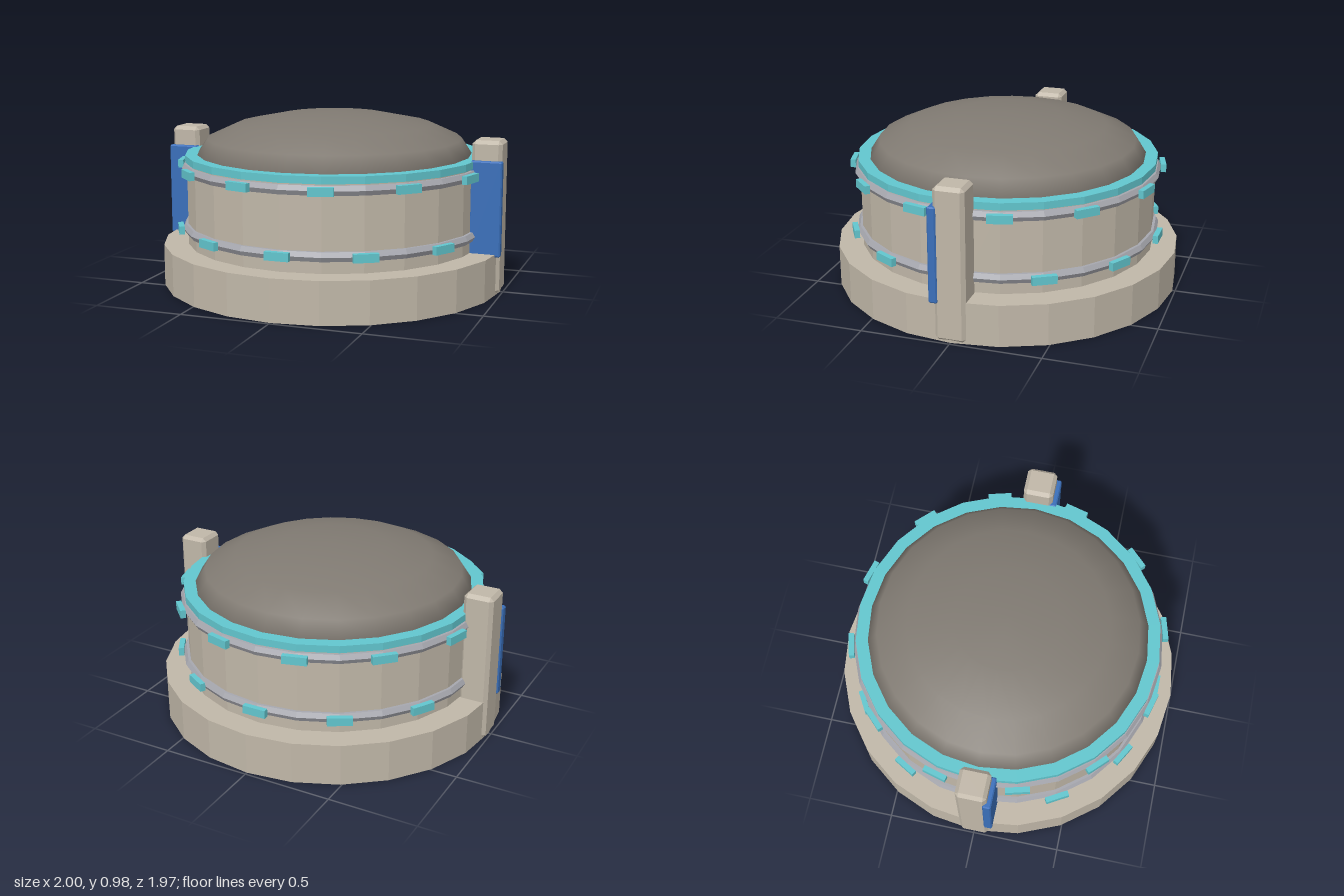
import * as THREE from 'three';
import { ConvexGeometry } from 'three/addons/geometries/ConvexGeometry.js';

const SIDES = 24;

const mat = (name, color) => {
  const m = new THREE.MeshStandardMaterial({ color });
  m.name = name;
  return m;
};

// Faceted copy of a geometry
function flat(geometry) {
  const g = geometry.toNonIndexed();
  g.computeVertexNormals();
  return g;
}

// Box with every edge cut at 45 degrees
function chamferBox(w, h, d, c) {
  const points = [];
  for (const sx of [-1, 1]) for (const sy of [-1, 1]) for (const sz of [-1, 1]) {
    const x = w / 2, y = h / 2, z = d / 2;
    points.push(
      new THREE.Vector3(sx * x, sy * (y - c), sz * (z - c)),
      new THREE.Vector3(sx * (x - c), sy * y, sz * (z - c)),
      new THREE.Vector3(sx * (x - c), sy * (y - c), sz * z)
    );
  }
  return new ConvexGeometry(points);
}

export function createModel() {
  const stone = mat('stone', 0xc0b7a8);
  const domeGrey = mat('dome grey', 0x807a72);
  const steel = mat('steel', 0xa6a7ae);
  const teal = mat('teal', 0x62c6ce);
  const blue = mat('blue', 0x3a6fba);

  const model = new THREE.Group();
  model.name = 'domedDrum';
  const add = (name, geometry, material, x = 0, y = 0, z = 0, parent = model) => {
    const mesh = new THREE.Mesh(geometry, material);
    mesh.name = name;
    mesh.position.set(x, y, z);
    parent.add(mesh);
    return mesh;
  };
  const disc = (name, r, y0, y1, material) =>
    add(name, flat(new THREE.CylinderGeometry(r, r, y1 - y0, SIDES)), material, 0, (y0 + y1) / 2, 0);

  // Stacked round body
  disc('base', 0.985, 0, 0.235, stone);
  disc('drum', 0.845, 0.235, 0.705, stone);
  disc('rimBand', 0.855, 0.705, 0.745, teal);

  // Shallow smooth dome
  const dome = new THREE.SphereGeometry(0.79, SIDES, 4, 0, Math.PI * 2, 0, Math.PI / 2);
  dome.scale(1, 0.24 / 0.79, 1);
  add('dome', dome, domeGrey, 0, 0.74, 0);

  // Two hoops, each with twelve lights; the upper set is turned by half a step
  const hoop = flat(new THREE.TorusGeometry(0.845, 0.03, 6, SIDES).rotateX(Math.PI / 2));
  const light = new THREE.BoxGeometry(0.135, 0.046, 0.03);
  for (const [name, y, turn] of [['lower', 0.327, 0], ['upper', 0.672, 0.5]]) {
    add(name + 'Hoop', hoop, steel, 0, y, 0);
    const lights = new THREE.Group();
    lights.name = name + 'Lights';
    model.add(lights);
    for (let i = 0; i < 12; i++) {
      const a = (i + turn) * Math.PI / 6;
      add('light', light, teal, Math.sin(a) * 0.885, y, Math.cos(a) * 0.885, lights).rotation.y = a;
    }
  }

  // Side posts with a blue panel on the front of each
  const post = chamferBox(0.168, 0.855, 0.172, 0.02);
  const panel = chamferBox(0.176, 0.53, 0.048, 0.007);
  for (const [side, s] of [['left', 1], ['right', -1]]) {
    add(side + 'Post', post, stone, s * 0.908, 0.432, 0);
    add(side + 'Panel', panel, blue, s * 0.912, 0.485, 0.088);
  }

  return model;
}
